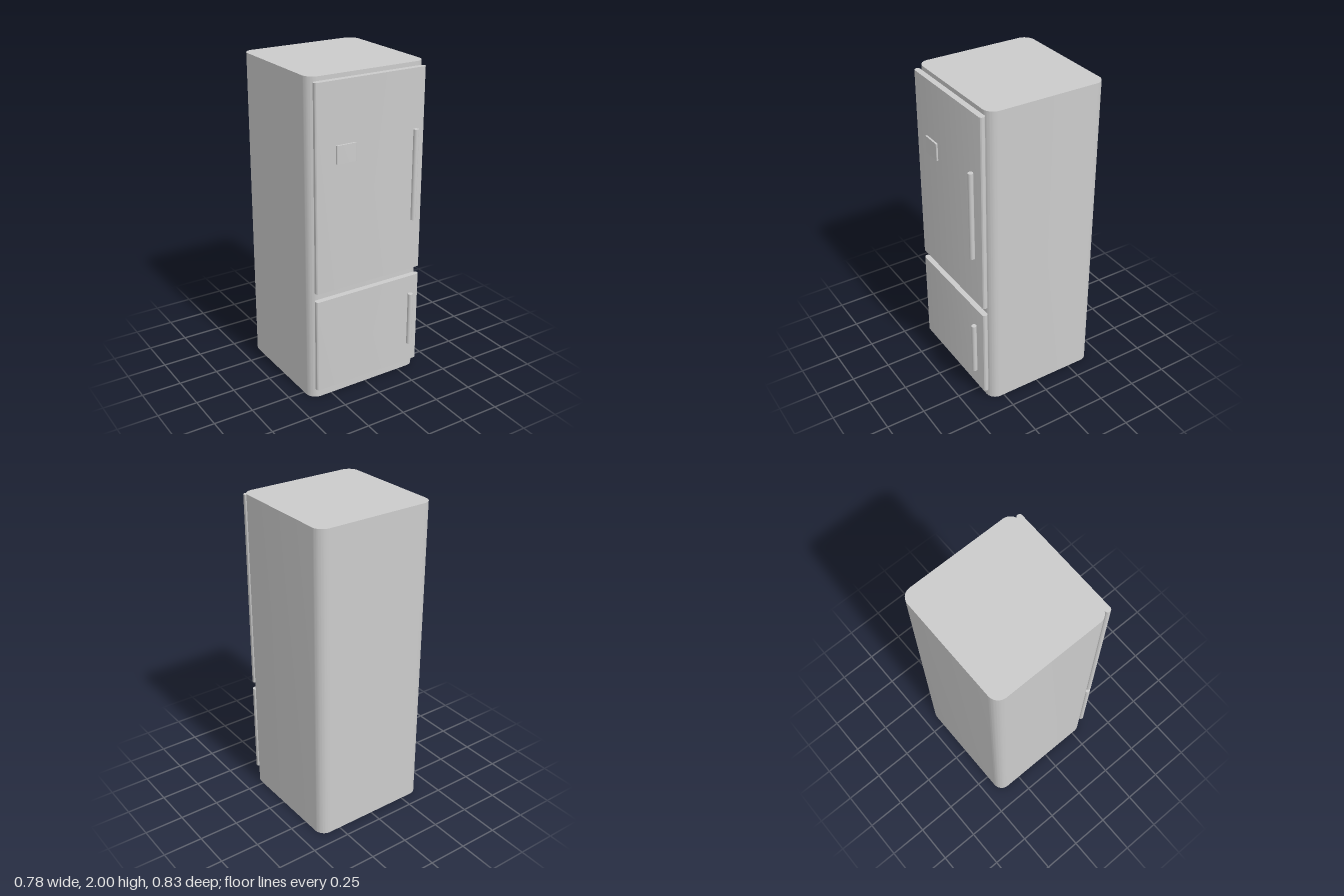
import * as THREE from 'three';
import { toCreasedNormals } from 'three/addons/utils/BufferGeometryUtils.js';

const material = new THREE.MeshStandardMaterial({ color: 0xcccccc });

// Upright block whose plan is a rounded rectangle
function roundedBlock(name, x0, x1, y0, y1, z0, z1, r) {
  const w = (x1 - x0) / 2, d = (z1 - z0) / 2;
  const plan = new THREE.Shape();
  plan.absarc(w - r, d - r, r, 0, Math.PI / 2);
  plan.absarc(-w + r, d - r, r, Math.PI / 2, Math.PI);
  plan.absarc(-w + r, -d + r, r, Math.PI, Math.PI * 1.5);
  plan.absarc(w - r, -d + r, r, Math.PI * 1.5, Math.PI * 2);
  const extruded = new THREE.ExtrudeGeometry(plan, { depth: y1 - y0, bevelEnabled: false, curveSegments: 8 });
  extruded.rotateX(-Math.PI / 2);
  const mesh = new THREE.Mesh(toCreasedNormals(extruded, 0.6), material);
  mesh.name = name;
  mesh.position.set((x0 + x1) / 2, y0, (z0 + z1) / 2);
  return mesh;
}

// Vertical bar handle standing clear of the door
function handle(name, y0, y1) {
  const mesh = new THREE.Mesh(new THREE.CylinderGeometry(0.016, 0.016, y1 - y0, 24), material);
  mesh.name = name;
  mesh.position.set(0.291, (y0 + y1) / 2, 0.4);
  return mesh;
}

export function createModel() {
  const fridge = new THREE.Group();
  fridge.name = 'refrigerator';
  fridge.add(
    roundedBlock('cabinet', -0.39, 0.39, 0, 2, -0.417, 0.34, 0.066),
    roundedBlock('upperDoor', -0.37, 0.368, 0.725, 1.975, 0.342, 0.378, 0.0175),
    roundedBlock('lowerDoor', -0.37, 0.368, 0.072, 0.672, 0.342, 0.378, 0.0175),
    roundedBlock('controlPanel', -0.24, -0.11, 1.502, 1.61, 0.378, 0.39, 0.0055),
    handle('upperHandle', 1.06, 1.622),
    handle('lowerHandle', 0.21, 0.56)
  );
  return fridge;
}
